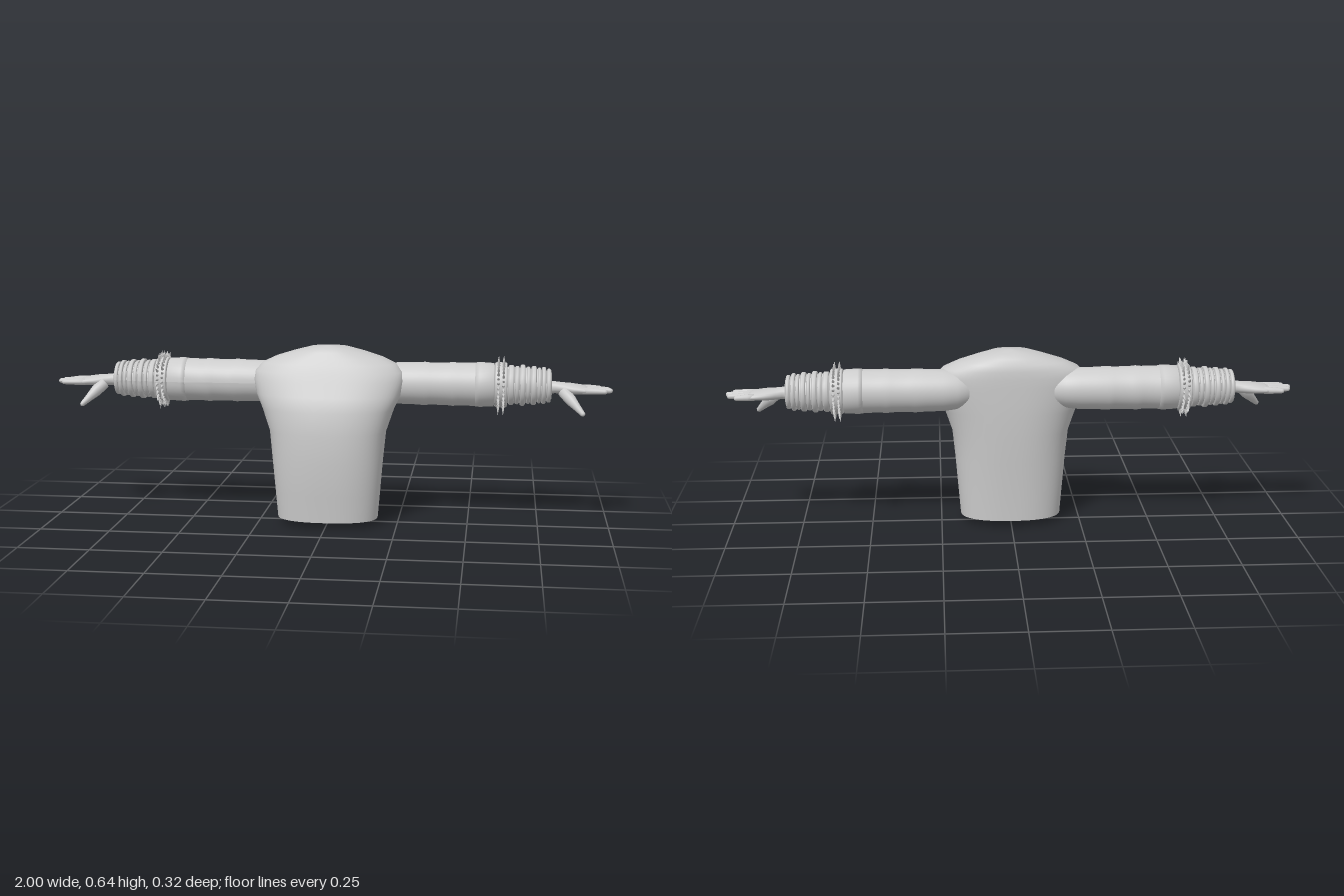
import * as THREE from 'three';
import { mergeGeometries } from 'three/addons/utils/BufferGeometryUtils.js';

const ARM_Y = 0.503, ARM_Z = -0.047;

// Skin through superellipse sections [height, centreX, centreZ, radiusX, radiusZ], bottom to top.
function loft(sections, sides, power) {
  const pos = [], idx = [];
  const bend = v => Math.sign(v) * Math.pow(Math.abs(v), 2 / power);
  sections.forEach(([h, cx, cz, rx, rz], i) => {
    for (let j = 0; j < sides; j++) {
      const t = (j / sides) * Math.PI * 2;
      pos.push(cx + rx * bend(Math.cos(t)), h, cz + rz * bend(Math.sin(t)));
      if (i === 0) continue;
      const a = (i - 1) * sides + j, b = (i - 1) * sides + (j + 1) % sides;
      idx.push(a, a + sides, b, b, a + sides, b + sides);
    }
  });
  const geo = new THREE.BufferGeometry();
  geo.setAttribute('position', new THREE.Float32BufferAttribute(pos, 3));
  geo.setIndex(idx);
  geo.computeVertexNormals();
  return geo;
}

// Round shape turned about the arm axis, from [x, radius] pairs.
function turned(profile, sides = 40) {
  const geo = new THREE.LatheGeometry(profile.map(([x, r]) => new THREE.Vector2(r, x)), sides);
  return geo.rotateZ(-Math.PI / 2).translate(0, ARM_Y, ARM_Z);
}

// Raised ring with softened edges.
function band(x, width, r) {
  const h = width / 2, e = Math.min(0.004, h * 0.5);
  return turned([[x - h, r - 0.02], [x - h, r - e], [x - h + e, r], [x + h - e, r], [x + h, r - e], [x + h, r - 0.02]]);
}

// Tapered finger with a rounded tip between two points.
function finger(from, to, r0, r1) {
  const a = new THREE.Vector3(...from), dir = new THREE.Vector3(...to).sub(a);
  const len = dir.length();
  const pts = [[0, 0], [r0, 0], [r0 * 0.97, len * 0.35], [(r0 + r1) / 2, len * 0.6], [r1, len - r1]];
  for (let i = 1; i <= 4; i++) {
    const t = (i / 4) * Math.PI / 2;
    pts.push([r1 * Math.max(0, Math.cos(t)), len - r1 + r1 * Math.sin(t)]);
  }
  const geo = new THREE.LatheGeometry(pts.map(p => new THREE.Vector2(...p)), 12);
  geo.applyQuaternion(new THREE.Quaternion().setFromUnitVectors(new THREE.Vector3(0, 1, 0), dir.normalize()));
  return geo.translate(a.x, a.y, a.z);
}

// Mirror across x = 0, keeping faces outward.
function mirrored(source) {
  const geo = source.clone().scale(-1, 1, 1);
  const index = geo.index.array;
  for (let i = 0; i < index.length; i += 3) [index[i], index[i + 1]] = [index[i + 1], index[i]];
  geo.computeVertexNormals();
  return geo;
}

export function createModel() {
  const model = new THREE.Group();
  model.name = 'armedTorso';
  const grey = new THREE.MeshStandardMaterial({ color: 0xcccccc, side: THREE.DoubleSide });
  grey.name = 'plain grey';

  const add = (name, geo, parent) => {
    const mesh = new THREE.Mesh(geo, grey);
    mesh.name = name;
    parent.add(mesh);
  };

  // Torso: [height, half width, front z, back z]; doubled rows make a crease
  const rows = [
    [0.002, 0, 0.03, 0.03], [0.025, 0.18, 0.14, -0.09], [0.025, 0.18, 0.14, -0.09],
    [0.12, 0.188, 0.149, -0.094], [0.24, 0.198, 0.162, -0.102], [0.34, 0.208, 0.158, -0.109],
    [0.42, 0.235, 0.153, -0.112], [0.47, 0.258, 0.131, -0.113], [0.52, 0.269, 0.109, -0.113],
    [0.55, 0.264, 0.096, -0.113], [0.578, 0.238, 0.082, -0.111], [0.6, 0.19, 0.068, -0.106],
    [0.62, 0.125, 0.055, -0.094], [0.634, 0.07, 0.044, -0.077], [0.641, 0, -0.012, -0.012],
  ];
  add('torso', loft(rows.map(([y, w, f, b]) => [y, 0, (f + b) / 2, w, (f - b) / 2]), 56, 2.4), model);

  const left = new THREE.Group(), right = new THREE.Group();
  left.name = 'leftArm';
  right.name = 'rightArm';
  model.add(left, right);
  const addPair = (name, geo) => {
    add(name, geo, left);
    add(name, mirrored(geo), right);
  };

  // Sleeve with soft folds and a cuff
  addPair('sleeve', turned([
    [0.12, 0], [0.125, 0.03], [0.15, 0.055], [0.19, 0.068], [0.24, 0.074], [0.3, 0.075], [0.34, 0.0775],
    [0.36, 0.075], [0.42, 0.076], [0.44, 0.0785], [0.46, 0.076], [0.52, 0.077],
  ]));
  addPair('cuff', turned([[0.515, 0.06], [0.52, 0.078], [0.535, 0.08], [0.585, 0.077], [0.59, 0.06]]));

  // Spiked wristband
  addPair('wristband', band(0.61, 0.044, 0.08));
  const spikes = [];
  for (let row = 0; row < 2; row++) {
    for (let i = 0; i < 32; i++) {
      const length = 0.028 + 0.006 * ((i * 7 + row * 3) % 3 - 1);
      spikes.push(new THREE.ConeGeometry(0.0065, length, 6)
        .translate(0, 0.076 + length / 2, 0)
        .rotateX(((i + row / 2) / 32) * Math.PI * 2)
        .translate(0.601 + row * 0.018, ARM_Y, ARM_Z));
    }
  }
  addPair('spikes', mergeGeometries(spikes));

  // Stack of bangles over a forearm core
  addPair('forearm', turned([[0.58, 0.066], [0.7, 0.062], [0.77, 0.054], [0.788, 0.046], [0.788, 0.02]]));
  const bangles = [
    [0.646, 0.02, 0.071], [0.667, 0.014, 0.068], [0.686, 0.018, 0.073], [0.706, 0.013, 0.066],
    [0.725, 0.018, 0.069], [0.744, 0.012, 0.063], [0.76, 0.014, 0.066], [0.778, 0.014, 0.06],
  ];
  addPair('bangles', mergeGeometries(bangles.map(b => band(...b))));

  // Palm, running outwards from the wrist
  const palm = [
    [0.77, 0.497, 0.022, 0.026], [0.8, 0.499, 0.021, 0.025], [0.825, 0.497, 0.02, 0.034],
    [0.86, 0.495, 0.019, 0.046], [0.9, 0.493, 0.015, 0.05], [0.917, 0.492, 0.01, 0.046], [0.922, 0.492, 0, 0],
  ];
  addPair('palm', loft(palm.map(([x, y, ry, rz]) => [x, -y, -0.041, ry, rz]), 24, 2.2).rotateZ(-Math.PI / 2));

  // Fingers and thumb
  const tips = [[0.98, 0.003], [1, -0.026], [0.992, -0.055], [0.965, -0.083]];
  const fingers = tips.map(([x, z], i) =>
    finger([0.895, 0.493, -0.006 - i * 0.023], [x, 0.492, z], 0.0125, 0.009));
  addPair('fingers', mergeGeometries(fingers));
  addPair('thumb', finger([0.828, 0.488, -0.018], [0.9, 0.413, 0.044], 0.021, 0.009));

  return model;
}
